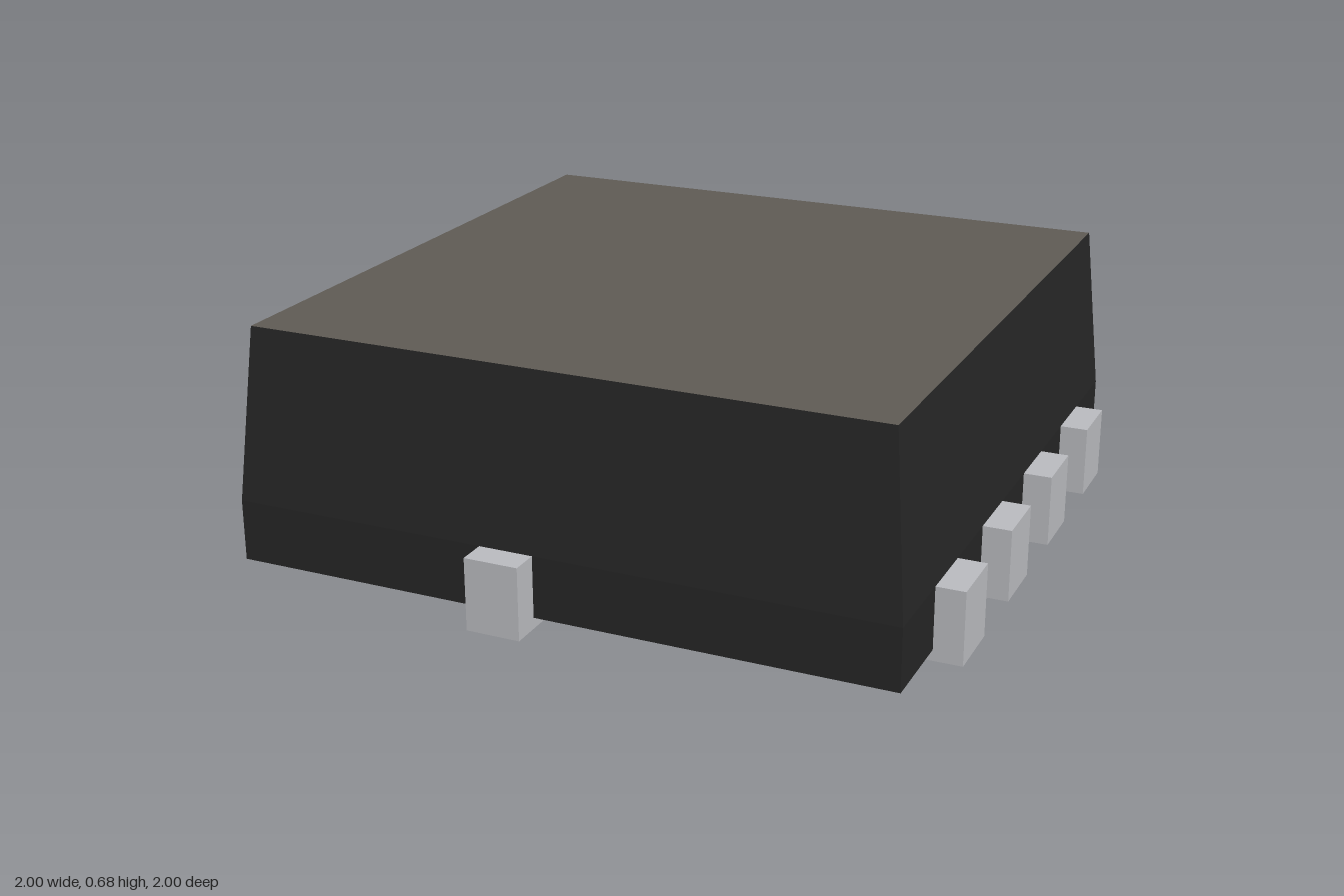
import * as THREE from 'three';

export function createModel() {
  const model = new THREE.Group();
  const mat = (name, color, side = THREE.FrontSide) => {
    const m = new THREE.MeshStandardMaterial({ color, side });
    m.name = name;
    return m;
  };
  const black = mat('body black', 0x252525);
  const brown = mat('top brown grey', 0x5e5a53);
  const metal = mat('pin metal', 0xb8b9bd);

  const add = (name, geometry, material) => {
    const mesh = new THREE.Mesh(geometry, material);
    mesh.name = name;
    model.add(mesh);
    return mesh;
  };

  // Square frustum without shared corners, so that each face stays flat
  const frustum = (y0, half0, y1, half1) => {
    const g = new THREE.BoxGeometry(2, 1, 2);
    const p = g.attributes.position;
    for (let i = 0; i < p.count; i++) {
      const upper = p.getY(i) > 0;
      const half = upper ? half1 : half0;
      p.setXYZ(i, p.getX(i) * half, upper ? y1 : y0, p.getZ(i) * half);
    }
    g.computeVertexNormals();
    return g;
  };

  // Moulded body: straight foot below, tapered block above with its own top colour
  add('lowerBody', frustum(0.03, 0.922, 0.2, 0.922), black);
  add('upperBody', frustum(0.2, 0.922, 0.68, 0.88), [black, black, brown, black, black, black]);

  const box = (name, x0, x1, y0, y1, z0, z1) => {
    const g = new THREE.BoxGeometry(x1 - x0, y1 - y0, z1 - z0);
    g.translate((x0 + x1) / 2, (y0 + y1) / 2, (z0 + z1) / 2);
    return add(name, g, metal);
  };

  // Side leads: an upright end on each, plus a separate foot on the -x side
  const leads = [[-0.68, -0.5], [-0.285, -0.105], [0.105, 0.285], [0.5, 0.68]];
  for (const [z0, z1] of leads) {
    box('leftLead', 0.915, 1, 0.03, 0.2, z0, z1);
    box('rightLead', -1, -0.915, 0.03, 0.2, z0, z1);
    box('rightFoot', -1, -0.74, 0, 0.03, z0, z1);
  }

  // Upright ends of the tie bars at front and back
  box('frontTieBar', -0.2, -0.05, 0.03, 0.2, 0.915, 1);
  box('backTieBar', -0.2, -0.05, 0.03, 0.2, -1, -0.915);

  // Exposed pad with tie bars and four fingers, drawn in plan as (x, -z)
  const outline = [[-0.22, -0.65], [-0.2, -0.71], [-0.2, -1], [-0.05, -1], [-0.05, -0.71], [-0.03, -0.65], [0.75, -0.65]];
  for (const [z0, z1] of leads) outline.push([0.75, z0], [1, z0], [1, z1], [0.75, z1]);
  outline.push([0.75, 0.65], [-0.03, 0.65], [-0.05, 0.71], [-0.05, 1], [-0.2, 1], [-0.2, 0.71], [-0.22, 0.65]);
  const shape = new THREE.Shape(outline.map(([x, y]) => new THREE.Vector2(x, y)));
  const pad = new THREE.ExtrudeGeometry(shape, { depth: 0.03, bevelEnabled: false });
  pad.rotateX(-Math.PI / 2);
  add('thermalPad', pad, metal);

  return model;
}
